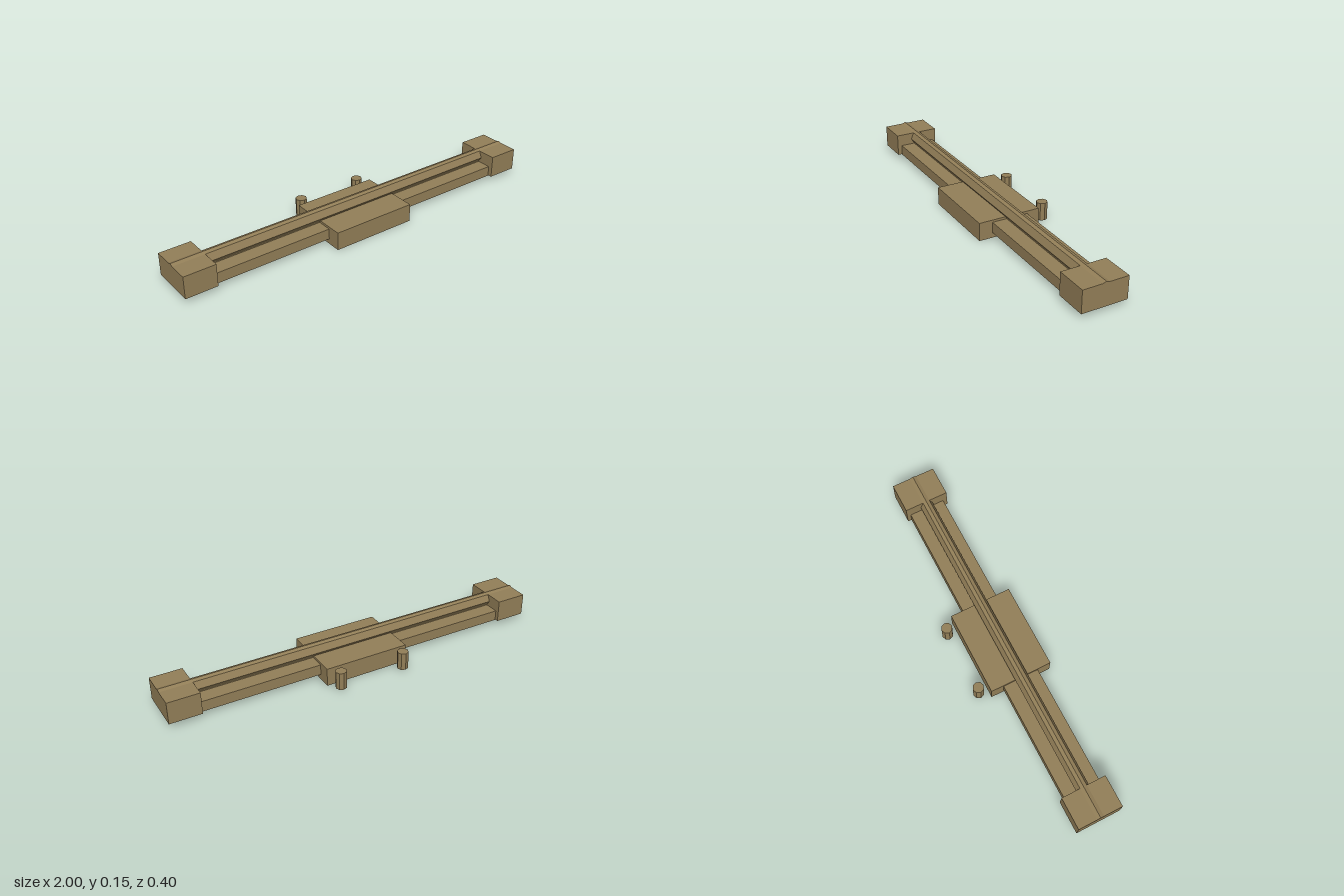
import * as THREE from 'three';

export function createModel() {
  const model = new THREE.Group();
  const bronze = new THREE.MeshStandardMaterial({ color: 0x937f58 });
  bronze.name = 'bronze';

  function add(name, geometry, x = 0, y = 0, z = 0) {
    const mesh = new THREE.Mesh(geometry, bronze);
    mesh.name = name;
    mesh.position.set(x, y, z);
    model.add(mesh);
    return mesh;
  }

  // Box given by its limits on each axis
  function block(name, x0, x1, y0, y1, z0, z1) {
    return add(name, new THREE.BoxGeometry(x1 - x0, y1 - y0, z1 - z0),
      (x0 + x1) / 2, (y0 + y1) / 2, (z0 + z1) / 2);
  }

  // Prism along x from a half profile of [offset from centre line, height]
  function prism(name, half, length, z) {
    const outline = [...half, ...half.filter(p => p[0] > 0).reverse().map(([a, b]) => [-a, b])];
    const shape = new THREE.Shape(outline.map(([a, b]) => new THREE.Vector2(a, b)));
    const geometry = new THREE.ExtrudeGeometry(shape, { depth: length, bevelEnabled: false });
    geometry.translate(0, 0, -length / 2);
    geometry.rotateY(Math.PI / 2);
    return add(name, geometry, 0, 0, z);
  }

  const railZ = 0.038;

  // Long base bar
  block('baseBar', -0.99, 0.99, 0.027, 0.082, railZ - 0.095, railZ + 0.094);

  // Guide rail with undercut sides and a shallow roof ridge
  prism('guideRail', [
    [0.017, 0.075], [0.017, 0.085], [0.034, 0.11], [0.018, 0.145], [0, 0.151],
  ], 2, railZ);

  // End blocks
  for (const side of [-1, 1]) {
    const name = side > 0 ? 'leftEndBlock' : 'rightEndBlock';
    const mesh = block(name, 0.838, 1, 0.03, 0.145, -0.077, 0.155);
    mesh.position.x *= side;
  }

  // Carriage around the bar
  block('carriage', -0.222, 0.222, 0, 0.094, -0.123, 0.202);

  // Upright pegs behind the carriage
  for (const x of [-0.175, 0.173]) {
    const geometry = new THREE.CylinderGeometry(0.0285, 0.0285, 0.092, 8).toNonIndexed();
    geometry.computeVertexNormals();
    add(x > 0 ? 'leftPeg' : 'rightPeg', geometry, x, 0.052, -0.1715);
  }

  return model;
}
